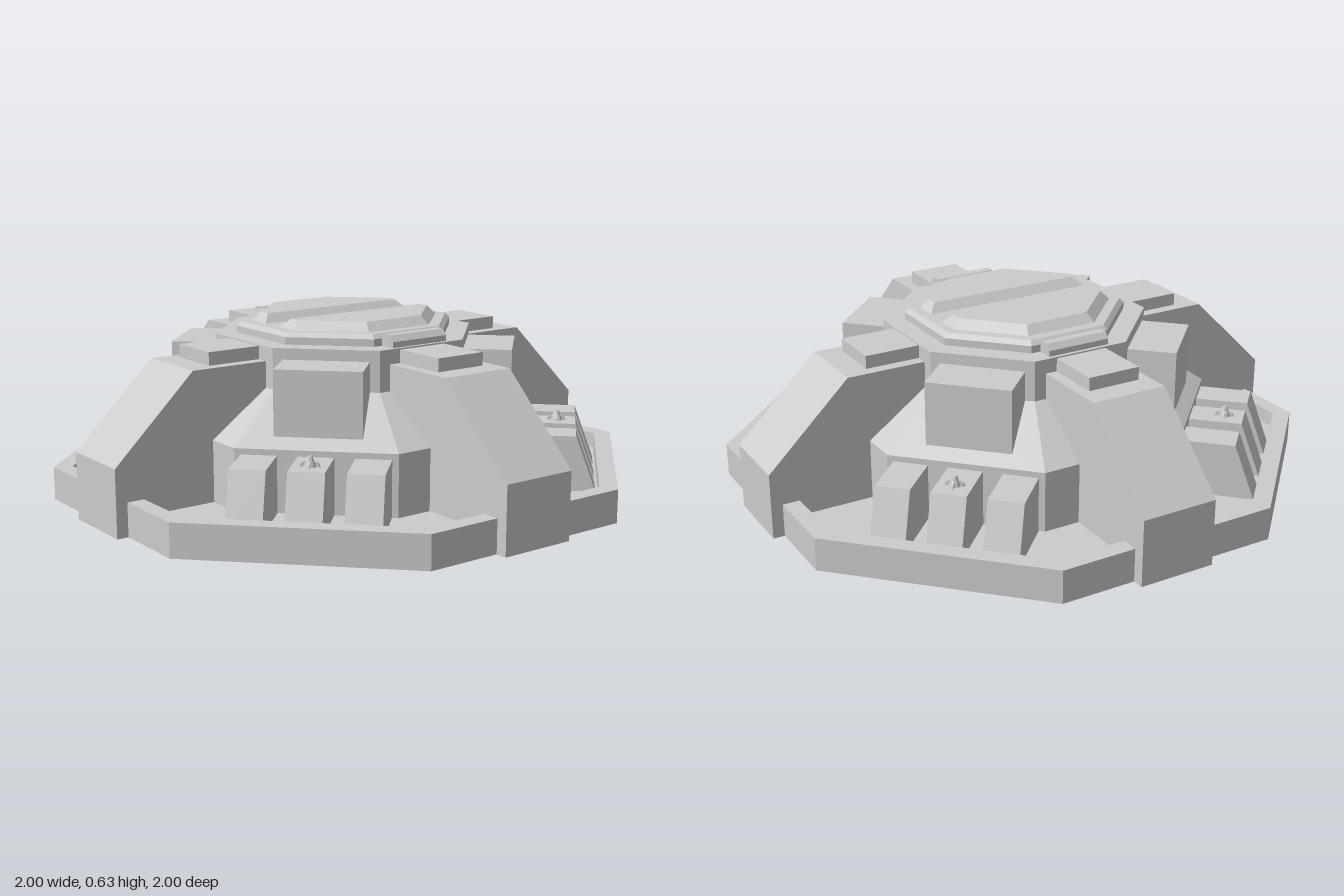
import * as THREE from 'three';

const material = new THREE.MeshStandardMaterial({ color: 0xcccccc, flatShading: true, side: THREE.DoubleSide });

function add(parent, name, geometry, x = 0, y = 0, z = 0) {
  const mesh = new THREE.Mesh(geometry, material);
  mesh.name = name;
  mesh.position.set(x, y, z);
  parent.add(mesh);
  return mesh;
}

const toShape = (points) => new THREE.Shape(points.map(([a, b]) => new THREE.Vector2(a, b)));

// Octagonal body from [apothem, height] pairs, with flat sides facing the axes
function octagon(profile) {
  const k = 1 / Math.cos(Math.PI / 8);
  const points = profile.map(([r, y]) => new THREE.Vector2(r * k, y));
  return new THREE.LatheGeometry(points, 8, Math.PI / 8);
}

// Outline in [outward distance, height], extruded sideways; outward is +z
function prism(points, width) {
  return new THREE.ExtrudeGeometry(toShape(points), { depth: width, bevelEnabled: false })
    .translate(0, 0, -width / 2)
    .rotateY(-Math.PI / 2);
}

// Leaves out the faces lying on the ground, so the part is open below
function openBelow(geometry) {
  const p = geometry.attributes.position;
  const kept = [];
  for (let i = 0; i < p.count; i += 3) {
    if (Math.max(p.getY(i), p.getY(i + 1), p.getY(i + 2)) < 1e-4) continue;
    for (let j = i; j < i + 3; j++) kept.push(p.getX(j), p.getY(j), p.getZ(j));
  }
  const open = new THREE.BufferGeometry();
  open.setAttribute('position', new THREE.Float32BufferAttribute(kept, 3));
  open.computeVertexNormals();
  return open;
}

function makeButtress() {
  const group = new THREE.Group();
  group.name = 'buttress';
  const side = [[0.42, 0], [1, 0], [1, 0.23], [0.71, 0.51], [0.42, 0.51]];
  add(group, 'buttressBody', openBelow(prism(side, 0.272)));
  add(group, 'buttressCap', new THREE.BoxGeometry(0.19, 0.055, 0.225), 0, 0.5275, 0.5125);
  return group;
}

function makeKnob() {
  const group = new THREE.Group();
  group.name = 'knob';
  add(group, 'knobBase', new THREE.CylinderGeometry(0.016, 0.022, 0.02, 8), 0, 0.01, 0);
  add(group, 'knobTip', new THREE.CylinderGeometry(0.008, 0.014, 0.016, 8), 0, 0.028, 0);
  for (let i = 0; i < 4; i++) {
    const fin = add(group, 'knobFin', prism([[0.008, 0], [0.034, 0], [0.028, 0.014], [0.008, 0.024]], 0.008));
    fin.rotation.y = i * Math.PI / 2;
  }
  return group;
}

function makeDiagonalSector() {
  const group = new THREE.Group();
  group.name = 'diagonalSector';
  // Box standing out from the sloping roof
  add(group, 'roofBox', new THREE.BoxGeometry(0.29, 0.22, 0.21), 0, 0.412, 0.4925);
  // Three sloped blocks on the floor
  for (const x of [-0.185, 0, 0.185]) {
    const block = prism([[0.6, 0.06], [0.892, 0.06], [0.822, 0.25], [0.6, 0.25]], 0.118);
    add(group, 'slopedBlock', block, x);
  }
  const knob = makeKnob();
  knob.position.set(0, 0.248, 0.755);
  group.add(knob);
  return group;
}

export function createModel() {
  const model = new THREE.Group();
  model.name = 'bunker';

  // Base tray with raised rim, open below
  add(model, 'baseTray', octagon([[0.96, 0], [0.96, 0.115], [0.9, 0.115], [0.9, 0.06], [0, 0.06]]));
  // Central body: wall, sloping roof and drum
  add(model, 'centralBody', octagon([[0.64, 0.06], [0.64, 0.27], [0.43, 0.42], [0.43, 0.56], [0.3, 0.56]]));
  // Hatch plate
  add(model, 'hatchPlate', octagon([[0.36, 0.555], [0.36, 0.585], [0.345, 0.6], [0, 0.6]]));

  for (let i = 0; i < 4; i++) {
    const buttress = makeButtress();
    buttress.rotation.y = i * Math.PI / 2;
    model.add(buttress);
    const sector = makeDiagonalSector();
    sector.rotation.y = (i + 0.5) * Math.PI / 2;
    model.add(sector);
  }

  // Two bevelled hatch doors and their hinges
  for (const s of [1, -1]) {
    const outline = [[0.042, -0.312], [0.128, -0.312], [0.308, -0.13], [0.308, 0.13], [0.128, 0.312], [0.042, 0.312]];
    const door = new THREE.ExtrudeGeometry(toShape(outline), {
      depth: 0.01, bevelSegments: 1, bevelThickness: 0.03, bevelSize: 0.03, bevelOffset: -0.03,
    }).rotateX(-Math.PI / 2);
    add(model, 'hatchDoor', door, 0, 0.59, 0).rotation.y = s > 0 ? 0 : Math.PI;

    const hinge = prism([[0.353, 0.555], [0.417, 0.555], [0.417, 0.58], [0.4, 0.6], [0.37, 0.6], [0.353, 0.58]], 0.23);
    add(model, 'hinge', hinge).rotation.y = s * Math.PI / 2;
  }
  return model;
}
